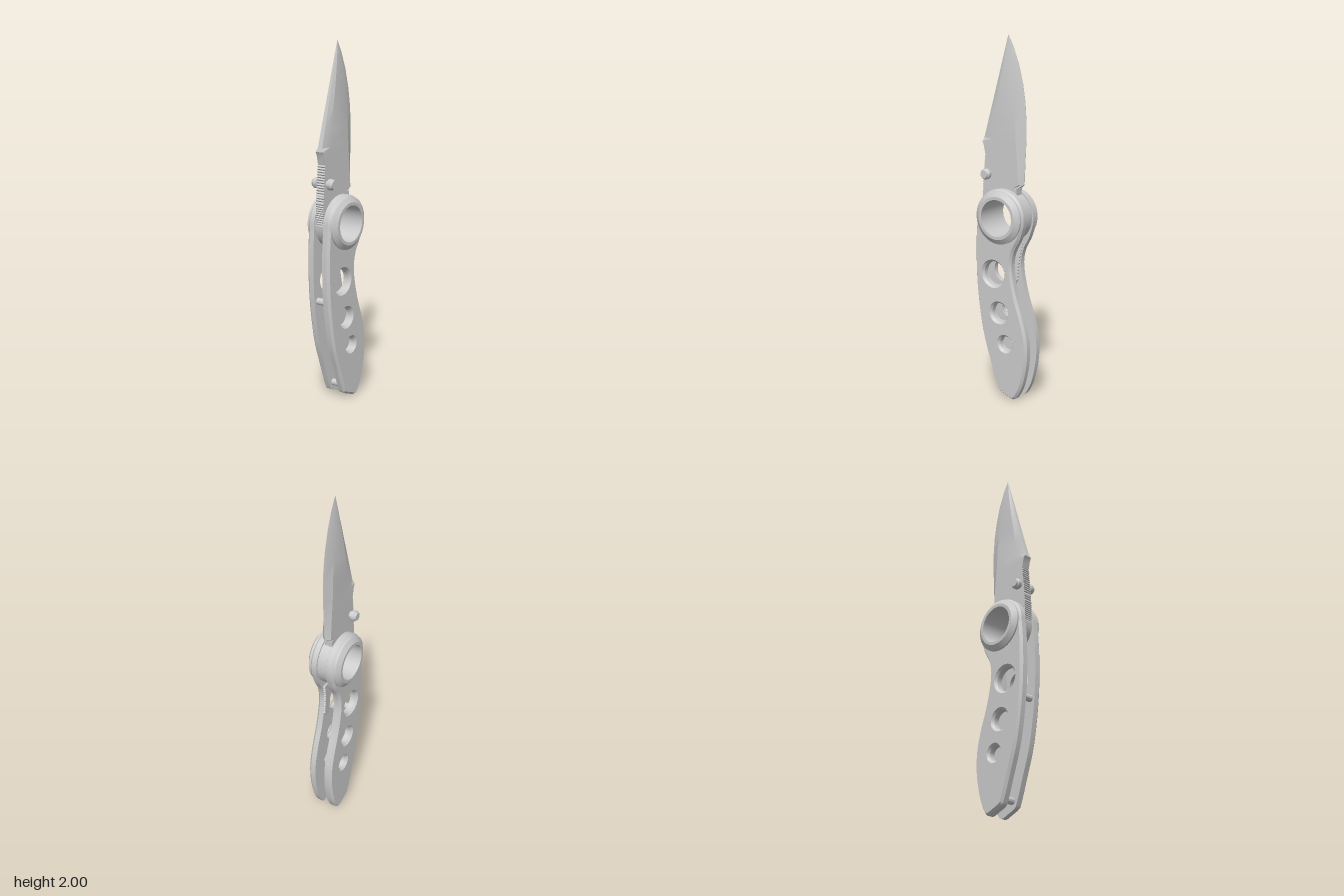
import * as THREE from 'three';
import { toCreasedNormals } from 'three/addons/utils/BufferGeometryUtils.js';

const material = new THREE.MeshStandardMaterial({ color: 0xcccccc });
const PIVOT = { z: 0.01, y: 1.03 };

// Side outlines are given as [z, y]; shapes are drawn with u = -z and turned to face +x.
const toVec = ([z, y]) => new THREE.Vector2(-z, y);

function arcPoints(radius, fromDeg, toDeg, steps) {
  const points = [];
  for (let i = 0; i <= steps; i++) {
    const a = THREE.MathUtils.degToRad(fromDeg + ((toDeg - fromDeg) * i) / steps);
    points.push(new THREE.Vector2(-PIVOT.z + radius * Math.cos(a), PIVOT.y + radius * Math.sin(a)));
  }
  return points;
}

function addHole(shape, z, y, r) {
  shape.holes.push(new THREE.Path().absarc(-z, y, r, 0, Math.PI * 2, true));
}

function part(name, geometry, crease = 0.45) {
  const mesh = new THREE.Mesh(toCreasedNormals(geometry, crease), material);
  mesh.name = name;
  return mesh;
}

// Solid turned around the x axis, profile as [radius, x]
function turned(name, profile, z, y, segments = 32) {
  const geometry = new THREE.LatheGeometry(profile.map(([r, x]) => new THREE.Vector2(r, x)), segments);
  geometry.rotateZ(-Math.PI / 2).translate(0, y, z);
  return part(name, geometry);
}

// Handle scale: curved outline, round head, countersunk holes, bevel on the outer face only
function handleGeometry() {
  const side = new THREE.SplineCurve([
    [0.165, 1.02], [0.175, 0.86], [0.168, 0.62], [0.13, 0.365], [0.074, 0.185], [0.034, 0.068],
    [0.018, 0.04], [-0.03, 0.018], [-0.075, 0.003], [-0.102, 0.022], [-0.14, 0.1], [-0.167, 0.23],
    [-0.167, 0.35], [-0.14, 0.466], [-0.092, 0.61], [-0.065, 0.75], [-0.077, 0.84], [-0.117, 0.917],
    [-0.14, 0.985],
  ].map(toVec)).getPoints(90);
  const shape = new THREE.Shape([...side, ...arcPoints(0.155, -8, 176, 36)]);
  addHole(shape, PIVOT.z, PIVOT.y, 0.11);
  addHole(shape, 0.05, 0.71, 0.068);
  addHole(shape, 0.012, 0.493, 0.053);
  addHole(shape, -0.03, 0.32, 0.041);
  const geometry = new THREE.ExtrudeGeometry(shape, {
    depth: 0.03, bevelThickness: 0.014, bevelSize: 0.012, bevelOffset: -0.012, bevelSegments: 1, curveSegments: 20,
  });
  const position = geometry.attributes.position;
  // Flatten the inner bevel into a plane
  for (let i = 0; i < position.count; i++) position.setZ(i, Math.max(0, position.getZ(i)));
  return geometry.rotateY(Math.PI / 2).translate(0.03, 0, 0);
}

// Blade sections: y, spine z, swedge z, grind z, edge z, half thickness, half spine, half edge
const SECTIONS = [
  [1.15, 0.157, 0.14, -0.05, -0.07, 0.025, 0.025, 0.025],
  [1.19, 0.155, 0.14, -0.05, -0.072, 0.025, 0.025, 0.025],
  [1.21, 0.154, 0.14, -0.085, -0.106, 0.025, 0.025, 0.002],
  [1.37, 0.14, 0.12, -0.072, -0.114, 0.025, 0.025, 0.001],
  [1.41, 0.148, 0.125, -0.068, -0.116, 0.025, 0.025, 0.001],
  [1.43, 0.158, 0.125, -0.066, -0.117, 0.025, 0.024, 0.001],
  [1.45, 0.152, 0.1, -0.065, -0.118, 0.025, 0.014, 0.001],
  [1.55, 0.124, 0.085, -0.06, -0.118, 0.024, 0.012, 0.001],
  [1.65, 0.096, 0.065, -0.052, -0.111, 0.022, 0.01, 0.001],
  [1.75, 0.068, 0.045, -0.04, -0.095, 0.019, 0.008, 0.001],
  [1.85, 0.041, 0.026, -0.028, -0.069, 0.014, 0.005, 0.001],
  [1.94, 0.017, 0.01, -0.014, -0.034, 0.007, 0.002, 0.0005],
  [2.0, 0.001, 0.0005, -0.0005, -0.001, 0.0005, 0.0005, 0.0005],
];

function sectionAt(y) {
  const k = Math.max(1, SECTIONS.findIndex((s) => s[0] >= y));
  const a = SECTIONS[k - 1], b = SECTIONS[k];
  const t = (y - a[0]) / (b[0] - a[0]);
  return a.map((v, i) => v + (b[i] - v) * t);
}

function bladeGeometry() {
  const rows = SECTIONS.slice();
  // Grip notches along the lower spine
  for (let y = 1.155, i = 0; y < 1.36; y += 0.007, i++) {
    const s = sectionAt(y);
    s[1] -= i % 2 ? 0.005 : 0;
    rows.push(s);
  }
  rows.sort((a, b) => a[0] - b[0]);
  const positions = [], indices = [], n = 8;
  for (const [y, spine, swedge, grind, edge, t, ws, we] of rows) {
    const half = [[ws, spine], [t, swedge], [t, grind], [we, edge]];
    const loop = [...half, ...half.slice().reverse().map(([x, z]) => [-x, z])];
    for (const [x, z] of loop) positions.push(x, y, z);
  }
  for (let k = 0; k < rows.length - 1; k++) {
    for (let i = 0; i < n; i++) {
      const a = k * n + i, b = k * n + ((i + 1) % n);
      indices.push(a, b, b + n, a, b + n, a + n);
    }
  }
  // Tip cap
  const top = (rows.length - 1) * n;
  for (let i = 1; i < n - 1; i++) indices.push(top, top + i, top + i + 1);
  const geometry = new THREE.BufferGeometry();
  geometry.setAttribute('position', new THREE.Float32BufferAttribute(positions, 3));
  geometry.setIndex(indices);
  return geometry;
}

// Tang around the pivot, with the notched spine running down beside it
function tangGeometry() {
  const notches = [];
  for (let i = 0; i <= 20; i++) notches.push([0.158 - (i % 2) * 0.004, 1.15 - i * 0.006]);
  const shape = new THREE.Shape([
    ...notches.map(toVec),
    ...arcPoints(0.147, 185, 410, 48),
    toVec([-0.072, 1.15]),
  ]);
  addHole(shape, PIVOT.z, PIVOT.y, 0.11);
  const geometry = new THREE.ExtrudeGeometry(shape, { depth: 0.05, bevelEnabled: false, curveSegments: 24 });
  return geometry.rotateY(Math.PI / 2).translate(-0.025, 0, 0);
}

// Springy lock tab with a serrated back edge, leaning in toward the tang
function lockGeometry() {
  const outline = [[-0.04, 0.9], [-0.035, 0.66], [-0.07, 0.66]];
  for (let i = 0; i <= 24; i++) {
    const t = i / 24;
    outline.push([-0.076 - 0.026 * t * t - (i % 2) * 0.007, 0.68 + 0.22 * t]);
  }
  const geometry = new THREE.ExtrudeGeometry(new THREE.Shape(outline.map(toVec)), { depth: 0.012, bevelEnabled: false });
  geometry.rotateY(Math.PI / 2);
  const position = geometry.attributes.position;
  for (let i = 0; i < position.count; i++) {
    const lean = (position.getY(i) - 0.66) / 0.24;
    position.setX(i, position.getX(i) + 0.02 - 0.02 * lean);
  }
  return geometry;
}

export function createModel() {
  const model = new THREE.Group();
  model.name = 'foldingKnife';

  const scale = handleGeometry();
  const stud = [[0, 0.02], [0.02, 0.02], [0.02, 0.034], [0.03, 0.038], [0.03, 0.056], [0.024, 0.062], [0.022, 0.069], [0, 0.069]];
  for (const [side, sign] of [['left', 1], ['right', -1]]) {
    const handle = part(side + 'HandleScale', scale);
    const thumbStud = turned(side + 'ThumbStud', stud, 0.117, 1.256, 24);
    handle.scale.x = thumbStud.scale.x = sign;
    model.add(handle, thumbStud);
  }

  // Hollow pivot sleeve with chamfered rims
  model.add(turned('pivotRing', [
    [0.101, -0.102], [0.118, -0.102], [0.146, -0.083], [0.146, 0.083],
    [0.118, 0.102], [0.101, 0.102], [0.101, -0.102],
  ], PIVOT.z, PIVOT.y, 56));

  model.add(part('blade', bladeGeometry(), 0.35));
  model.add(part('bladeTang', tangGeometry()));
  model.add(part('lockTab', lockGeometry()));

  // Posts joining the two scales
  for (const [name, z, y] of [['middlePost', 0.135, 0.6], ['endPost', 0.0, 0.08]]) {
    model.add(turned(name, [[0, -0.035], [0.019, -0.035], [0.019, 0.035], [0, 0.035]], z, y, 20));
  }
  return model;
}
